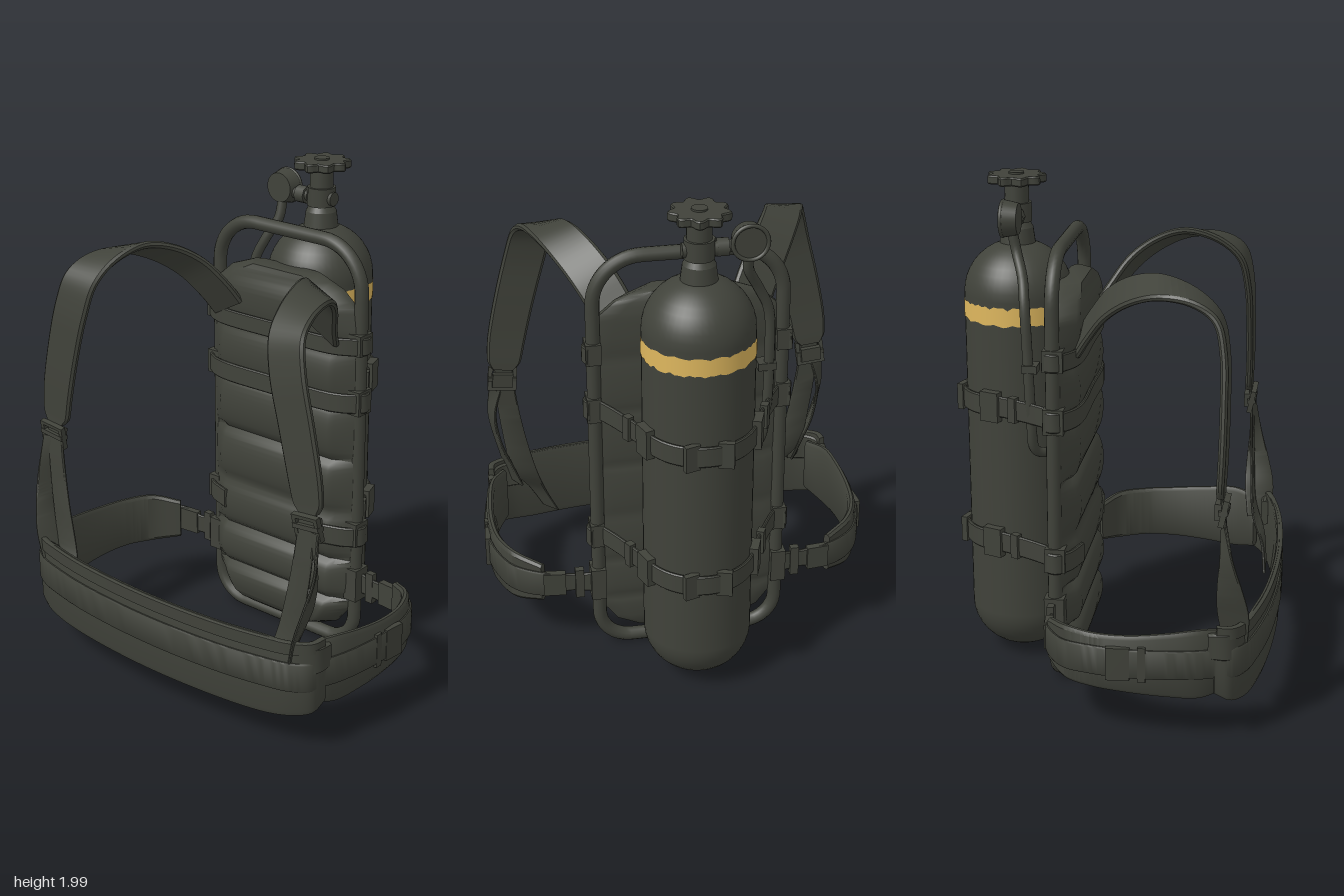
import * as THREE from 'three';
import { toCreasedNormals } from 'three/addons/utils/BufferGeometryUtils.js';

const V = (x, y, z) => new THREE.Vector3(x, y, z);

export function createModel() {
  const root = new THREE.Group();
  const dark = new THREE.MeshStandardMaterial({ color: 0x40423a });
  dark.name = 'dark olive';
  const yellow = new THREE.MeshStandardMaterial({ color: 0xdeb75e });
  yellow.name = 'worn yellow';

  function add(name, geo, pos = [0, 0, 0], rot = [0, 0, 0], mat = dark) {
    const m = new THREE.Mesh(geo, mat);
    m.name = name;
    m.position.set(...pos);
    m.rotation.set(...rot);
    root.add(m);
    return m;
  }
  const box = (name, size, pos, rot) => add(name, new THREE.BoxGeometry(...size), pos, rot);
  const rod = (name, r1, r2, h, pos, rot, n = 24) => add(name, new THREE.CylinderGeometry(r1, r2, h, n), pos, rot);

  // Skin a list of closed rings and cap both ends
  function loft(rings, crease = 0.6) {
    const n = rings[0].length, idx = [];
    const geo = new THREE.BufferGeometry().setFromPoints(rings.flat());
    for (let i = 0; i < rings.length - 1; i++) {
      for (let j = 0; j < n; j++) {
        const k = (j + 1) % n;
        const a = i * n + j, b = i * n + k, c = b + n, d = a + n;
        idx.push(a, b, c, a, c, d);
      }
    }
    const last = (rings.length - 1) * n;
    for (let j = 1; j < n - 1; j++) idx.push(0, j + 1, j, last, last + j, last + j + 1);
    geo.setIndex(idx);
    return toCreasedNormals(geo, crease);
  }

  // Strap through rows of [x, y, z, half-width x, y, z], mirrored in x when s = -1
  function ribbon(name, rows, thick, s = 1, steps = 40) {
    const path = new THREE.CatmullRomCurve3(rows.map(r => V(r[0] * s, r[1], r[2])), false, 'centripetal');
    const wide = new THREE.CatmullRomCurve3(rows.map(r => V((r[3] || 0) * s, r[4] || 0, r[5] || 0)), false, 'catmullrom');
    const section = [[1, -0.4], [1, 0.4], [0.88, 1], [-0.88, 1], [-1, 0.4], [-1, -0.4], [-0.88, -1], [0.88, -1]];
    const rings = [];
    for (let i = 0; i <= steps; i++) {
      const t = i / steps, p = path.getPoint(t), w = wide.getPoint(t);
      const n = path.getTangent(t).cross(w).normalize().multiplyScalar(thick / 2);
      rings.push(section.map(([a, b]) => p.clone().addScaledVector(w, a).addScaledVector(n, b)));
    }
    return add(name, loft(rings));
  }
  const withMirror = half => [...half, ...half.slice(0, -1).reverse().map(r => [-r[0], ...r.slice(1)])];

  // Tank with domed base and shoulders
  const TZ = -0.41, R = 0.213;
  const profile = [];
  for (let i = 0; i <= 10; i++) {
    const a = (i / 10) * Math.PI / 2;
    profile.push(new THREE.Vector2(R * Math.sin(a), 0.215 - 0.195 * Math.cos(a)));
  }
  for (let i = 0; i <= 9; i++) {
    const a = (i / 10) * Math.PI / 2;
    profile.push(new THREE.Vector2(R * Math.cos(a), 1.53 + 0.205 * Math.sin(a)));
  }
  profile.push(new THREE.Vector2(0.055, 1.737), new THREE.Vector2(0, 1.737));
  add('tank', new THREE.LatheGeometry(profile, 48), [0, 0, TZ]);

  // Painted band with chipped edges
  const band = new THREE.CylinderGeometry(R + 0.002, R + 0.002, 0.08, 72, 1, true);
  const bp = band.attributes.position;
  for (let i = 0; i < bp.count; i++) {
    const k = i % 73 % 72, y = bp.getY(i);
    const chip = 0.006 * Math.sin(k * 2.3) + 0.006 * Math.sin(k * 0.9 + (y > 0 ? 0 : 2));
    bp.setY(i, y - Math.sign(y) * Math.abs(chip));
  }
  add('paintedBand', band, [0, 1.472, TZ], [0, 0, 0], yellow);

  // Valve, handwheel and side outlets
  rod('tankNeck', 0.062, 0.07, 0.06, [0, 1.755, TZ]);
  rod('valveBase', 0.045, 0.062, 0.03, [0, 1.80, TZ]);
  rod('valveBody', 0.058, 0.058, 0.075, [0, 1.845, TZ], [0, 0, 0], 12);
  rod('valveStem', 0.047, 0.047, 0.09, [0, 1.92, TZ]);
  const wheel = new THREE.Shape();
  for (let i = 0; i < 90; i++) {
    const a = i / 90 * Math.PI * 2, r = 0.1 + 0.012 * Math.cos(9 * a);
    wheel[i ? 'lineTo' : 'moveTo'](r * Math.cos(a), r * Math.sin(a));
  }
  const wheelGeo = new THREE.ExtrudeGeometry(wheel, { depth: 0.024, bevelSize: 0.004, bevelThickness: 0.005, bevelSegments: 1 });
  add('handwheel', toCreasedNormals(wheelGeo, 0.5), [0, 1.964, TZ], [-Math.PI / 2, 0, 0]);
  rod('handwheelHub', 0.03, 0.03, 0.012, [0, 1.994, TZ]);
  rod('valvePlug', 0.028, 0.028, 0.13, [0, 1.84, TZ], [0, 0, Math.PI / 2], 16);
  rod('outletNut', 0.036, 0.036, 0.045, [-0.085, 1.838, TZ + 0.01], [0, 0, Math.PI / 2], 8);
  rod('outletPipe', 0.024, 0.024, 0.1, [-0.1, 1.84, TZ + 0.01], [0, 0, Math.PI / 2], 12);

  // Pressure gauge and hose
  rod('gauge', 0.072, 0.06, 0.06, [-0.185, 1.855, -0.395], [-Math.PI / 2, 0, 0], 32);
  add('gaugeRim', new THREE.TorusGeometry(0.066, 0.008, 8, 32), [-0.185, 1.855, -0.425]);
  const hose = new THREE.CatmullRomCurve3([V(-0.185, 1.8, -0.39), V(-0.19, 1.73, -0.375), V(-0.235, 1.64, -0.345),
    V(-0.28, 1.54, -0.33), V(-0.29, 1.35, -0.32), V(-0.285, 1.1, -0.31), V(-0.26, 0.96, -0.3), V(-0.2, 0.93, -0.24)]);
  add('hose', new THREE.TubeGeometry(hose, 60, 0.02, 10));
  box('hoseClip', [0.07, 0.03, 0.06], [-0.28, 1.3, -0.31]);

  // Tubular back frame
  const fx = 0.365, y0 = 0.035, y1 = 1.745, rt = 0.19, rb = 0.13;
  const outline = new THREE.Shape();
  outline.absarc(fx - rt, y1 - rt, rt, 0, Math.PI / 2);
  outline.absarc(-fx + rt, y1 - rt, rt, Math.PI / 2, Math.PI);
  outline.absarc(-fx + rb, y0 + rb, rb, Math.PI, Math.PI * 1.5);
  outline.absarc(fx - rb, y0 + rb, rb, Math.PI * 1.5, Math.PI * 2);
  outline.closePath();
  const framePts = outline.getSpacedPoints(120).slice(0, -1).map(p => V(p.x, p.y, -0.21));
  add('backFrame', new THREE.TubeGeometry(new THREE.CatmullRomCurve3(framePts, true), 200, 0.028, 12, true));

  // Quilted back pad with horizontal bulges
  const half = [[0.08, 0.2], [0.12, 0.29], [0.2, 0.35], [0.28, 0.375], [1.4, 0.375], [1.5, 0.35], [1.56, 0.28], [1.6, 0.17]];
  const seams = [0.08, 0.24, 0.42, 0.63, 0.86, 1.1, 1.33, 1.62];
  const padRings = [];
  for (let i = 0; i <= 76; i++) {
    const y = 0.08 + 0.02 * i;
    const h = Math.max(1, half.findIndex(r => r[0] >= y - 1e-6)), [ya, wa] = half[h - 1], [yb, wb] = half[h];
    const w = wa + (wb - wa) * (y - ya) / (yb - ya);
    const s = Math.max(1, seams.findIndex(v => v >= y - 1e-6));
    const u = (y - seams[s - 1]) / (seams[s] - seams[s - 1]);
    const bulge = Math.sqrt(Math.max(0, Math.sin(Math.PI * u)));
    const zf = -0.155 + 0.037 * bulge, zb = -0.22 - 0.012 * bulge, wf = w * 0.8;
    padRings.push([[-wf * 0.92, zf], [wf * 0.92, zf], [wf, zf - 0.012], [w, -0.19], [w, -0.21], [wf, zb], [-wf, zb],
      [-w, -0.21], [-w, -0.19], [-wf, zf - 0.012]].map(([x, z]) => V(x, y, z)));
  }
  add('backPad', loft(padRings, 0.8));

  // Webbing across the pad
  for (const [y, h] of [[1.355, 0.035], [1.12, 0.04]]) {
    ribbon('padWebbing', withMirror([[0.385, y, -0.245, 0, h], [0.402, y, -0.2, 0, h], [0.36, y, -0.155, 0, h],
      [0.28, y, -0.122, 0, h], [0, y, -0.118, 0, h]]), 0.014);
  }

  // Tank straps: frame, around the back of the tank, frame
  for (const y of [1.12, 0.55]) {
    const rows = [[0.37, y, -0.2, 0, 0.042], [0.3, y, -0.31, 0, 0.042]];
    for (let a = 15; a <= 90; a += 15) {
      const t = a * Math.PI / 180;
      rows.push([0.223 * Math.cos(t), y - 0.012 * Math.sin(t), TZ - 0.223 * Math.sin(t), 0, 0.042]);
    }
    ribbon('tankStrap', withMirror(rows), 0.014, 1, 60);
    for (const s of [1, -1]) {
      box('strapBuckle', [0.035, 0.12, 0.08], [s * 0.215, y - 0.005, -0.485], [0, s * 0.35, 0]);
      box('strapLoop', [0.03, 0.1, 0.035], [s * 0.262, y, -0.385], [0, s * 0.5, 0]);
      box('rearBuckle', [0.06, 0.105, 0.025], [s * 0.065, y - 0.012, -0.628], [0, s * 0.3, 0]);
      box('frameClamp', [0.055, 0.1, 0.08], [s * 0.37, y, -0.205]);
    }
  }

  for (const s of [1, -1]) {
    box('upperClamp', [0.06, 0.085, 0.08], [s * 0.368, 1.36, -0.205]);
    ribbon('lowerPadTab', [[0.385, 0.54, -0.245, 0, 0.042], [0.402, 0.54, -0.2, 0, 0.042], [0.36, 0.54, -0.155, 0, 0.042],
      [0.26, 0.54, -0.118, 0, 0.042]], 0.016, s, 16);

    // Padded shoulder strap
    ribbon('shoulderStrap', [[0.245, 1.4, -0.125, 0.075, -0.04, 0], [0.275, 1.48, -0.075, 0.075, -0.04, 0],
      [0.335, 1.58, 0.0, 0.075, -0.04, 0], [0.4, 1.65, 0.1, 0.075, -0.035, 0], [0.455, 1.68, 0.21, 0.076, -0.025, 0],
      [0.495, 1.655, 0.34, 0.08, -0.005, 0], [0.52, 1.59, 0.425, 0.082, 0.01, 0], [0.55, 1.47, 0.457, 0.082, 0.018, 0],
      [0.6, 1.28, 0.465, 0.08, 0.018, 0], [0.64, 1.1, 0.465, 0.077, 0.014, 0], [0.655, 1.0, 0.462, 0.068, 0.01, 0],
      [0.66, 0.965, 0.462, 0.045, 0.005, 0]], 0.028, s, 60);

    // Adjusting buckle
    const ring = new THREE.Shape([[-0.06, -0.05], [0.06, -0.05], [0.06, 0.05], [-0.06, 0.05]].map(p => new THREE.Vector2(...p)));
    ring.holes.push(new THREE.Path([[-0.043, -0.035], [-0.043, 0.035], [0.043, 0.035], [0.043, -0.035]].map(p => new THREE.Vector2(...p))));
    add('adjusterBuckle', new THREE.ExtrudeGeometry(ring, { depth: 0.022, bevelEnabled: false }), [s * 0.665, 0.915, 0.465], [0.2, 0, s * 0.1]);
    box('adjusterBar', [0.12, 0.018, 0.035], [s * 0.665, 0.915, 0.475], [0, 0, s * 0.1]);
    box('adjusterPlate', [0.085, 0.06, 0.025], [s * 0.665, 0.915, 0.455], [0, 0, s * 0.1]);

    // Lower straps, one running down inside the belt
    ribbon('lowerStrap', [[0.66, 0.97, 0.468, 0.04], [0.655, 0.86, 0.475, 0.042, 0.005], [0.63, 0.65, 0.485, 0.048, 0.01],
      [0.585, 0.43, 0.5, 0.055, 0.015], [0.53, 0.31, 0.545, 0.04, 0.02], [0.475, 0.2, 0.56, 0.035, 0.02]], 0.012, s);
    ribbon('twistedStrap', [[0.69, 0.9, 0.475, 0.03, 0, 0.005], [0.715, 0.74, 0.49, 0.014, 0, 0.025], [0.695, 0.6, 0.505, 0.012, 0, 0.05],
      [0.665, 0.5, 0.515, 0.02, 0, 0.06], [0.63, 0.38, 0.52, 0.03, 0, 0.05]], 0.012, s);

    // Side hip pad, webbing, and clip to the frame
    ribbon('hipPad', [[0.68, 0.33, 0.5, 0, 0.12], [0.735, 0.325, 0.4, 0, 0.138], [0.758, 0.322, 0.28, 0, 0.128], [0.764, 0.32, 0.13, 0, 0.115],
      [0.745, 0.32, 0, 0, 0.11], [0.69, 0.32, -0.11, 0, 0.108], [0.59, 0.32, -0.185, 0, 0.085]], 0.03, s);
    ribbon('hipWebbing', [[0.71, 0.33, 0.52, 0, 0.058], [0.755, 0.33, 0.4, 0, 0.058], [0.778, 0.33, 0.27, 0, 0.058], [0.784, 0.33, 0.13, 0, 0.058],
      [0.765, 0.33, -0.01, 0, 0.058], [0.705, 0.32, -0.125, 0, 0.058], [0.59, 0.32, -0.2, 0, 0.055], [0.48, 0.32, -0.205, 0, 0.04],
      [0.385, 0.32, -0.22, 0, 0.045]], 0.014, s, 60);
    box('hipBuckle', [0.022, 0.13, 0.09], [s * 0.786, 0.33, 0.1], [0, s * -0.08, 0]);
    box('hipLoop', [0.02, 0.14, 0.03], [s * 0.782, 0.33, 0.19]);
    box('clipBody', [0.09, 0.1, 0.03], [s * 0.545, 0.32, -0.203], [0, s * -0.1, 0]);
    box('clipTongue', [0.035, 0.13, 0.028], [s * 0.445, 0.32, -0.213]);
    box('clipMount', [0.06, 0.14, 0.08], [s * 0.37, 0.32, -0.21]);
    ribbon('cornerKeeper', [[0.6, 0.4, 0.545, 0, 0.055], [0.68, 0.4, 0.54, 0, 0.06], [0.73, 0.4, 0.5, 0, 0.055], [0.735, 0.4, 0.43, 0, 0.05]], 0.03, s, 16);
  }

  // Wide front belt with top piping and centre webbing
  const front = (y, h, dz, ends) => withMirror([[0.735, y + 0.01, 0.455 + dz, 0, h * ends], [0.725, y + 0.005, 0.51 + dz, 0, h * (ends + 1) / 2],
    [0.66, y, 0.552 + dz, 0, h * (ends + 3) / 4], [0.55, y, 0.583 + dz, 0, h], [0.35, y, 0.617 + dz, 0, h], [0, y, 0.636 + dz, 0, h]]);
  ribbon('frontBelt', front(0.315, 0.165, 0, 0.7), 0.02, 1, 70);
  ribbon('frontBeltTopRoll', front(0.45, 0.028, 0.006, 0.8), 0.024, 1, 70);
  ribbon('frontBeltWebbing', front(0.33, 0.06, 0.014, 1), 0.014, 1, 70);

  return root;
}
